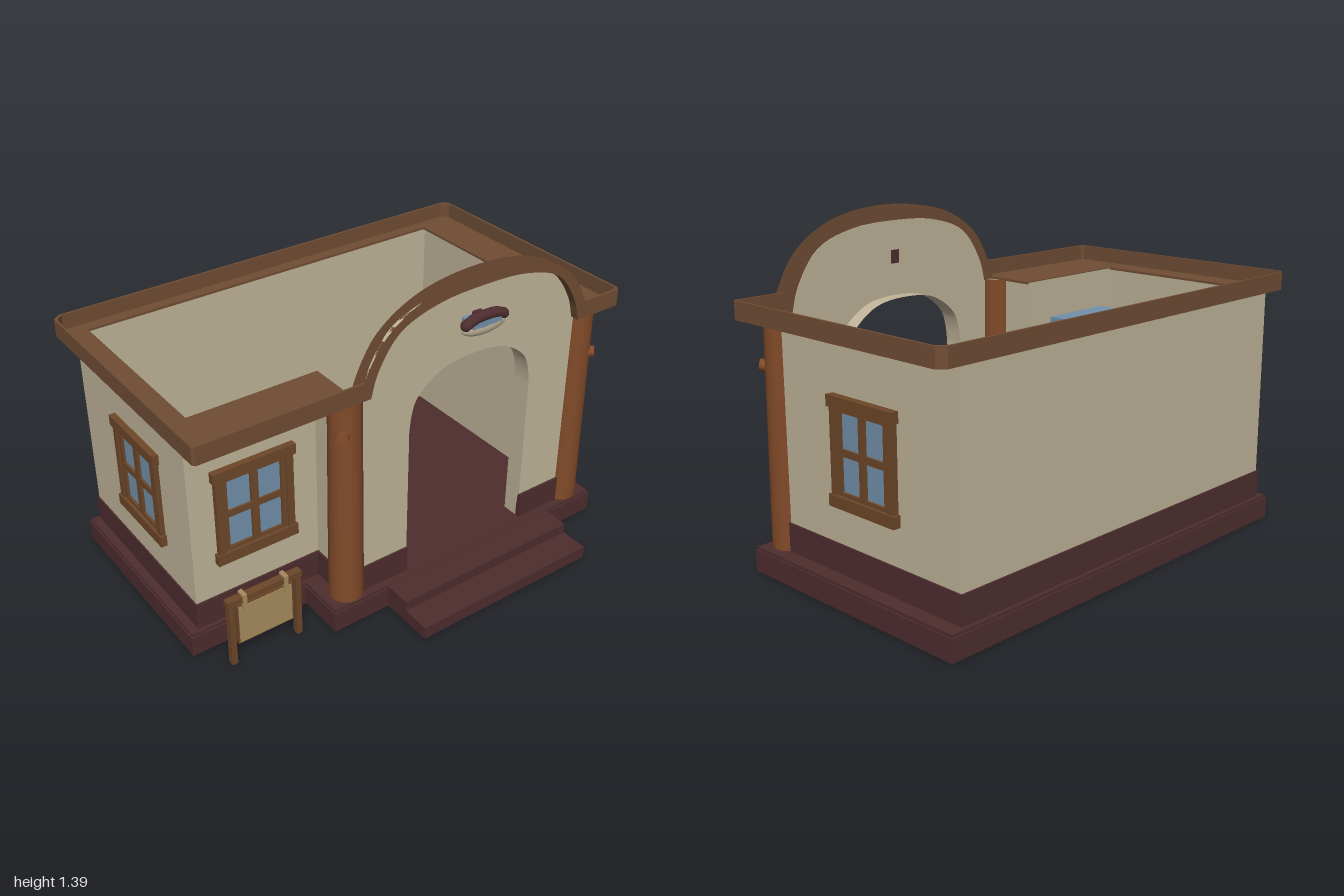
import * as THREE from 'three';

const mat = (name, color, side = THREE.FrontSide) => {
  const m = new THREE.MeshStandardMaterial({ color, side });
  m.name = name;
  return m;
};

export function createModel() {
  const plaster = mat('plaster', 0xc0b499, THREE.DoubleSide);
  const maroon = mat('maroon', 0x4e2d2f);
  const roofWood = mat('roof wood', 0x704d34, THREE.DoubleSide);
  const postWood = mat('post wood', 0x814a29);
  const frameWood = mat('frame wood', 0x6d4729);
  const glass = mat('glass', 0x7391ab);
  const signTan = mat('sign tan', 0xa88b5e);
  const lampCream = mat('lamp cream', 0xc9bda0);

  const root = new THREE.Group();
  const add = (name, geo, material, parent = root) => {
    const mesh = new THREE.Mesh(geo, material);
    mesh.name = name;
    parent.add(mesh);
    return mesh;
  };
  // Box given by its limits
  const box = (name, x0, x1, y0, y1, z0, z1, material, parent) => {
    const geo = new THREE.BoxGeometry(x1 - x0, y1 - y0, z1 - z0);
    geo.translate((x0 + x1) / 2, (y0 + y1) / 2, (z0 + z1) / 2);
    return add(name, geo, material, parent);
  };
  const shapeOf = (pts) => new THREE.Shape(pts.map(([x, y]) => new THREE.Vector2(x, y)));
  // Floor-plan outline of [x, z] raised from y0 to y1
  const plan = (name, pts, y0, y1, material) => {
    const geo = new THREE.ExtrudeGeometry(shapeOf(pts.map(([x, z]) => [x, -z])), { depth: y1 - y0, bevelEnabled: false });
    geo.rotateX(-Math.PI / 2).translate(0, y0, 0);
    return add(name, geo, material);
  };
  // Outline moved towards the middle by t
  const inset = (pts, t) => pts.map(([x, z]) => [x - Math.sign(x) * t, z - Math.sign(z) * t]);
  // Symmetric arch from half-profile points, listed right foot to crown
  const cx = 0.252;
  const arch = (half) => {
    const all = [...half, ...half.slice(0, -1).reverse().map(([x, y]) => [-x, y])];
    const curve = new THREE.CatmullRomCurve3(all.map(([x, y]) => new THREE.Vector3(cx + x, y, 0)), false, 'centripetal');
    return curve.getSpacedPoints(40).map((p) => [p.x, p.y]);
  };
  // Open band following a front outline between two depths
  const band = (name, pts, z0, z1, material) => {
    const pos = [], idx = [];
    pts.forEach(([x, y], i) => {
      pos.push(x, y, z1, x, y, z0);
      if (i) idx.push(2 * i - 2, 2 * i, 2 * i - 1, 2 * i, 2 * i + 1, 2 * i - 1);
    });
    const geo = new THREE.BufferGeometry();
    geo.setAttribute('position', new THREE.Float32BufferAttribute(pos, 3));
    geo.setIndex(idx);
    geo.computeVertexNormals();
    return add(name, geo, material);
  };

  // Base with a narrowing top edge, and two steps
  const basePlan = [[-0.972, 0.24], [-0.445, 0.24], [-0.445, 0.45], [0.95, 0.45], [0.95, -0.675], [-0.972, -0.675]];
  plan('base', basePlan, 0, 0.09, maroon);
  plan('baseTop', inset(basePlan, 0.006), 0.09, 0.102, maroon);
  box('upperStep', -0.18, 0.69, 0, 0.1, 0.43, 0.565, maroon);
  box('lowerStep', -0.18, 0.69, 0, 0.055, 0.55, 0.69, maroon);

  // Side, back and recessed front walls
  plan('walls', [[-0.36, 0.38], [-0.36, 0.21], [-0.924, 0.21], [-0.924, -0.645], [0.875, -0.645], [0.875, 0.38],
    [0.83, 0.38], [0.83, -0.632], [-0.885, -0.632], [-0.885, 0.17], [-0.325, 0.17], [-0.325, 0.38]], 0.1, 1.03, plaster);
  plan('wallSkirting', [[-0.368, 0.38], [-0.368, 0.218], [-0.93, 0.218], [-0.93, -0.652], [0.882, -0.652], [0.882, 0.38],
    [0.85, 0.38], [0.85, -0.638], [-0.91, -0.638], [-0.91, 0.19], [-0.345, 0.19], [-0.345, 0.38]], 0.1, 0.22, maroon);

  // Gabled entrance wall with an arched doorway
  const inner = arch([[0.518, 1.025], [0.49, 1.12], [0.39, 1.257], [0.22, 1.32], [0, 1.335]]);
  const outer = arch([[0.575, 1.025], [0.55, 1.1], [0.46, 1.247], [0.28, 1.355], [0, 1.395]]);
  const door = [[cx + 0.308, 0.1], ...arch([[0.308, 0.78], [0.297, 0.86], [0.27, 0.925], [0.16, 1.005], [0, 1.028]]), [cx - 0.308, 0.1]];
  const entrance = [[0.84, 0.1], [0.84, 1.025], ...inner, [-0.34, 1.025], [-0.34, 0.1], ...[...door].reverse()];
  add('entranceWall', new THREE.ExtrudeGeometry(shapeOf(entrance), { depth: 0.02, bevelEnabled: false }).translate(0, 0, 0.382), plaster);
  band('doorwayLining', door, 0.32, 0.402, plaster);
  box('entranceSkirting', -0.33, cx - 0.308, 0.1, 0.22, 0.39, 0.41, maroon);
  box('entranceSkirting', cx + 0.308, 0.83, 0.1, 0.22, 0.39, 0.41, maroon);

  // Gable trim: an open channel of two arched faces around a curved bed
  const trimFace = shapeOf([...outer, ...[...inner].reverse()]);
  add('gableTrimFront', new THREE.ShapeGeometry(trimFace).translate(0, 0, 0.44), roofWood);
  add('gableTrimBack', new THREE.ShapeGeometry(trimFace).rotateY(Math.PI).translate(2 * cx, 0, 0.385), roofWood);
  band('gableTrimBed', inner, 0.385, 0.44, roofWood);

  // Roof border: sunken deck inside a thin raised rim, open at the gable
  const eaves = [[-0.29, 0.44], [-0.99, 0.44], [-1, 0.43], [-1, -0.665], [-0.97, -0.692], [0.97, -0.692],
    [1, -0.665], [1, 0.43], [0.99, 0.44], [0.785, 0.44]];
  plan('roofRim', [...eaves, ...inset(eaves, 0.01).reverse()], 1.025, 1.1, roofWood);
  plan('roofDeck', [...inset(eaves, 0.005), [0.785, 0.385], [0.82, 0.385], [0.82, -0.63], [-0.88, -0.63],
    [-0.88, 0.17], [-0.32, 0.17], [-0.32, 0.385], [-0.285, 0.385]], 1.024, 1.034, roofWood);

  // Round open-topped posts with cut branch stubs
  const addStub = (x, y, dx, dz) => {
    const stub = add('branchStub', new THREE.CylinderGeometry(0.024, 0.03, 0.09, 12), postWood);
    const dir = new THREE.Vector3(dx, 0.12, dz).normalize();
    stub.quaternion.setFromUnitVectors(new THREE.Vector3(0, 1, 0), dir);
    stub.position.set(x, y, 0.37).addScaledVector(dir, 0.042);
  };
  for (const x of [-0.335, 0.838]) {
    const post = add('entrancePost', new THREE.CylinderGeometry(0.066, 0.072, 0.93, 20, 1, true), postWood);
    post.position.set(x, 0.565, 0.37);
  }
  addStub(-0.335, 0.885, -0.7, 0.75);
  addStub(0.838, 0.825, 0.7, 0.75);
  addStub(0.838, 0.89, -0.35, -0.9);

  // Four-pane windows, built facing +z with the wall at z = 0
  const addWindow = (name, x, z, turn) => {
    const g = new THREE.Group();
    g.name = name;
    box('windowHeader', -0.18, 0.18, 0.755, 0.8, -0.01, 0.028, frameWood, g);
    box('windowSill', -0.18, 0.18, 0.375, 0.422, -0.01, 0.028, frameWood, g);
    for (const s of [-1, 1]) {
      box('windowJamb', s * 0.155 - 0.015, s * 0.155 + 0.015, 0.42, 0.757, -0.01, 0.022, frameWood, g);
      box('sashSide', s * 0.13 - 0.012, s * 0.13 + 0.012, 0.42, 0.757, -0.01, 0.015, frameWood, g);
    }
    box('sashTop', -0.13, 0.13, 0.74, 0.757, -0.01, 0.015, frameWood, g);
    box('sashBottom', -0.13, 0.13, 0.42, 0.437, -0.01, 0.015, frameWood, g);
    box('mullion', -0.016, 0.016, 0.43, 0.745, -0.01, 0.016, frameWood, g);
    box('glazingBar', -0.13, 0.13, 0.575, 0.603, -0.01, 0.014, frameWood, g);
    box('windowGlass', -0.13, 0.13, 0.43, 0.745, -0.002, 0.004, glass, g);
    g.position.set(x, 0, z);
    g.rotation.y = turn;
    root.add(g);
  };
  addWindow('frontWindow', -0.648, 0.21, 0);
  addWindow('leftWindow', 0.88, -0.16, Math.PI / 2);
  addWindow('rightWindow', -0.923, -0.175, -Math.PI / 2);
  box('frontWindowBay', -0.817, -0.47, 0.32, 0.86, 0, 0.2, glass);

  // Lamp above the doorway: drooping hood, glass strip and bowl
  const lamp = new THREE.Group();
  lamp.name = 'doorLamp';
  lamp.position.set(cx, 1.18, 0.45);
  root.add(lamp);
  const hoodPath = new THREE.CatmullRomCurve3([[-0.092, 0.016], [-0.055, 0.03], [0, 0.034], [0.055, 0.03], [0.092, 0.016]]
    .map(([x, y]) => new THREE.Vector3(x, y, 0.003)));
  add('lampHood', new THREE.TubeGeometry(hoodPath, 24, 0.022, 12), maroon, lamp);
  for (const s of [-1, 1]) {
    add('lampHoodEnd', new THREE.SphereGeometry(0.022, 14, 10), maroon, lamp).position.set(s * 0.092, 0.016, 0.003);
  }
  const bowl = add('lampBowl', new THREE.SphereGeometry(1, 24, 10, 0, Math.PI * 2, Math.PI / 2, Math.PI / 2), lampCream, lamp);
  bowl.scale.set(0.113, 0.045, 0.026);
  box('lampBowlTop', -0.1, 0.1, -0.006, 0.001, -0.02, 0.015, lampCream, lamp);
  box('lampGlass', -0.07, 0.07, -0.002, 0.025, -0.05, 0.022, glass, lamp);
  box('lampMount', -0.02, 0.02, -0.02, 0.035, -0.072, 0, maroon, lamp);

  // Hanging sign on a small stand
  const sign = new THREE.Group();
  sign.name = 'signStand';
  sign.position.set(-0.712, 0, 0.36);
  root.add(sign);
  for (const s of [-1, 1]) {
    box('signPost', s * 0.149 - 0.012, s * 0.149 + 0.012, 0, 0.3, -0.014, 0.014, frameWood, sign);
    box('signHook', s * 0.092 - 0.009, s * 0.092 + 0.009, 0.25, 0.325, -0.02, 0.02, signTan, sign);
  }
  box('signBar', -0.165, 0.165, 0.288, 0.315, -0.016, 0.016, frameWood, sign);
  box('signRim', -0.125, 0.125, 0.088, 0.275, -0.009, 0.009, frameWood, sign);
  box('signBoard', -0.119, 0.119, 0.094, 0.269, -0.012, 0.012, signTan, sign);
  return root;
}
